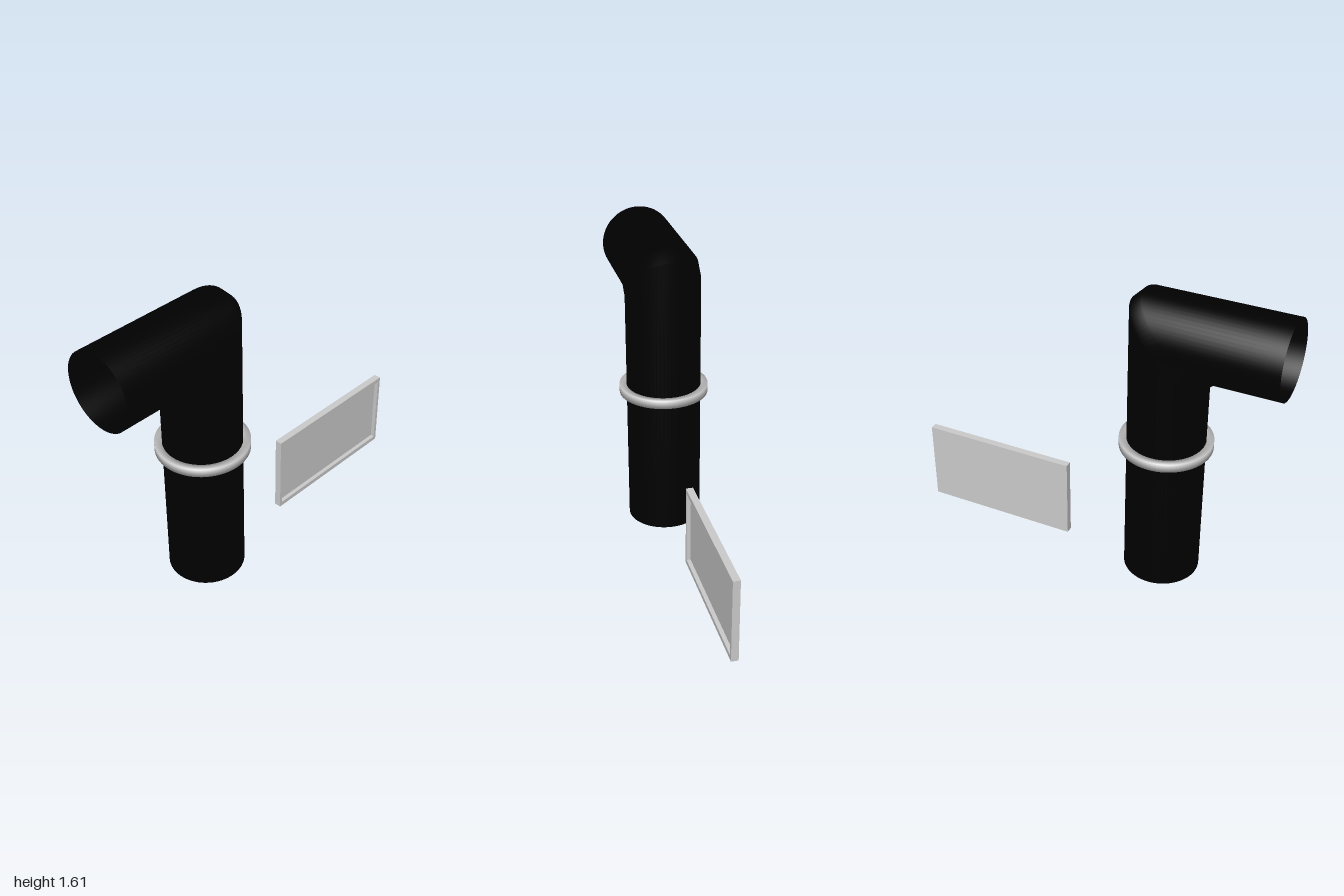
import * as THREE from 'three';

const GREY = { color: 0xcccccc };
const COLUMN_X = -0.399;

// Bent pipe: circular rings swept up the column, mitred twice, then out to -x
function makePipe() {
  const R = 0.2, SIDES = 64, armY = 1.41, cut = 0.06;
  // centre x, centre y, and how far the ring leans into x and y
  const rings = [
    [COLUMN_X, 0, 1, 0],
    [COLUMN_X, armY - cut, 1, 1],
    [COLUMN_X - cut, armY, 1, 1],
    [-1, armY, 0, 1],
  ];
  const positions = [], index = [];
  rings.forEach(([cx, cy, kx, ky], r) => {
    for (let i = 0; i < SIDES; i++) {
      const a = (i / SIDES) * Math.PI * 2, c = R * Math.cos(a);
      positions.push(cx + kx * c, cy + ky * c, R * Math.sin(a));
      if (r === rings.length - 1) continue;
      const p = r * SIDES + i, q = r * SIDES + ((i + 1) % SIDES);
      index.push(p, p + SIDES, q, q, p + SIDES, q + SIDES);
    }
  });
  const geo = new THREE.BufferGeometry();
  geo.setAttribute('position', new THREE.Float32BufferAttribute(positions, 3));
  geo.setIndex(index);
  geo.computeVertexNormals();
  const mat = new THREE.MeshStandardMaterial({ color: 0x000000, side: THREE.DoubleSide });
  return new THREE.Mesh(geo, mat);
}

// Clamp ring: a softly shaded square-section band around the column
function makeRing() {
  const inner = 0.201, outer = 0.239, low = 0.76, high = 0.805;
  const profile = [[inner, low], [outer, low], [outer, high], [inner, high], [inner, low]]
    .map(([x, y]) => new THREE.Vector2(x, y));
  const ring = new THREE.Mesh(new THREE.LatheGeometry(profile, 64), new THREE.MeshStandardMaterial(GREY));
  ring.position.x = COLUMN_X;
  return ring;
}

// Rectangle outline, for both the plate edge and its recess
function rectangle(Type, x0, y0, x1, y1) {
  const s = new Type();
  s.moveTo(x0, y0);
  s.lineTo(x1, y0);
  s.lineTo(x1, y1);
  s.lineTo(x0, y1);
  s.closePath();
  return s;
}

// Plate: thin back panel with a raised rim on the front
function makePlate() {
  const x0 = 0.155, x1 = 1, h = 0.455, back = -0.02, floor = -0.004, front = 0.018;
  const plate = new THREE.Group();
  const mat = new THREE.MeshStandardMaterial(GREY);

  const panel = new THREE.Mesh(new THREE.BoxGeometry(x1 - x0, h, floor - back), mat);
  panel.name = 'platePanel';
  panel.position.set((x0 + x1) / 2, h / 2, (back + floor) / 2);

  const outline = rectangle(THREE.Shape, x0, 0, x1, h);
  outline.holes.push(rectangle(THREE.Path, x0 + 0.017, 0.025, x1 - 0.017, h - 0.025));
  const rim = new THREE.Mesh(
    new THREE.ExtrudeGeometry(outline, { depth: front - floor, bevelEnabled: false }), mat);
  rim.name = 'plateRim';
  rim.position.z = floor;

  plate.add(panel, rim);
  return plate;
}

export function createModel() {
  const model = new THREE.Group();
  model.name = 'pipeAndPlate';
  const parts = { elbowPipe: makePipe(), clampRing: makeRing(), plate: makePlate() };
  for (const [name, part] of Object.entries(parts)) {
    part.name = name;
    model.add(part);
  }
  return model;
}
